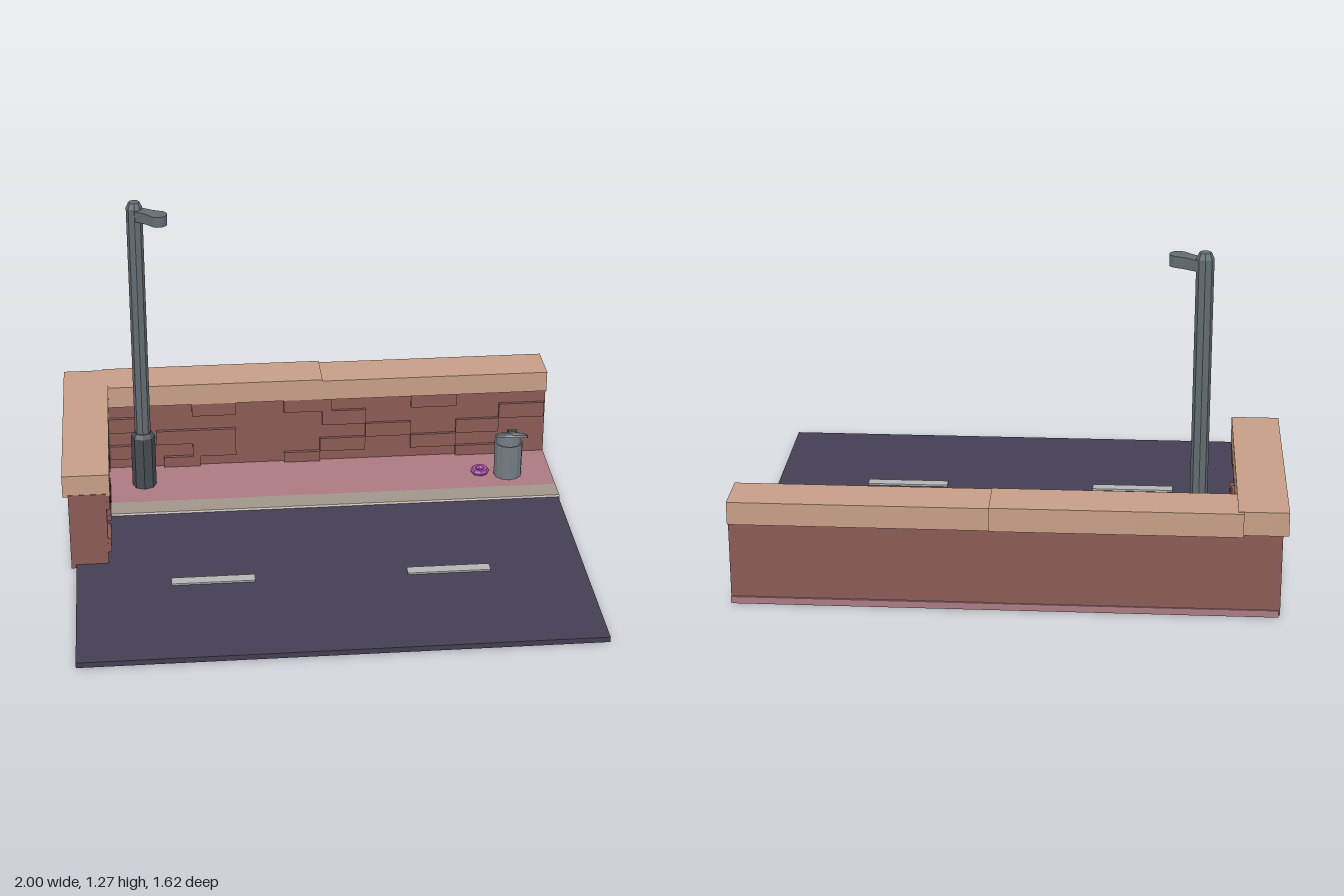
import * as THREE from 'three';

const mat = (color, extra = {}) => new THREE.MeshStandardMaterial({ color, flatShading: true, ...extra });
const ROAD = mat(0x443e52), PAINT = mat(0xb4b4b4), PAVE = mat(0xab7a82), CURB = mat(0xa0958a);
const BRICK = mat(0x8a5a54), COPING = mat(0xc69e86), STEEL = mat(0x646c72), DARK = mat(0x474c52);
const TIN = mat(0x747e84, { side: THREE.DoubleSide }), PINK = mat(0xb04fb0);

export function createModel() {
  const model = new THREE.Group();

  const add = (name, geometry, material, parent = model) => {
    const mesh = new THREE.Mesh(geometry, material);
    mesh.name = name;
    parent.add(mesh);
    return mesh;
  };
  // Box given by its limits on each axis
  const box = (name, material, x0, x1, y0, y1, z0, z1, parent = model) => {
    const mesh = add(name, new THREE.BoxGeometry(x1 - x0, y1 - y0, z1 - z0), material, parent);
    mesh.position.set((x0 + x1) / 2, (y0 + y1) / 2, (z0 + z1) / 2);
    return mesh;
  };
  const group = (name, x, y, z) => {
    const g = new THREE.Group();
    g.name = name;
    g.position.set(x, y, z);
    model.add(g);
    return g;
  };

  // Ground
  box('road', ROAD, -0.96, 0.99, 0.005, 0.026, -0.25, 0.81);
  for (const x of [-0.6, 0.305]) box('laneMark', PAINT, x, x + 0.32, 0.02, 0.033, 0.26, 0.305);
  box('pavement', PAVE, -0.975, 0.995, 0.004, 0.03, -0.795, -0.345);

  // Kerb with a sloped front, extruded along x
  const kerbShape = new THREE.Shape();
  kerbShape.moveTo(0.235, 0.002);
  kerbShape.lineTo(0.35, 0.002);
  kerbShape.lineTo(0.35, 0.031);
  kerbShape.lineTo(0.258, 0.031);
  const kerb = add('kerb', new THREE.ExtrudeGeometry(kerbShape, { depth: 1.82, bevelEnabled: false }), CURB);
  kerb.rotation.y = Math.PI / 2;
  kerb.position.x = -0.825;

  // Walls
  box('backWallLeft', BRICK, -0.98, 0.06, 0.015, 0.33, -0.79, -0.652);
  box('backWallRight', BRICK, 0.06, 0.995, 0.015, 0.33, -0.787, -0.65);
  box('sideWall', BRICK, -0.98, -0.835, 0.01, 0.33, -0.788, 0.117);

  // Raised bricks: [row, start, end] along each inner face
  const rowY = [0.03, 0.075, 0.135, 0.197, 0.262, 0.322];
  const backBricks = [
    [4, -0.48, -0.3], [4, -0.1, 0.1], [4, 0.43, 0.62], [3, -0.83, -0.7], [3, 0.06, 0.24], [3, 0.8, 0.99],
    [2, -0.63, -0.3], [2, 0.24, 0.43], [2, 0.62, 0.8], [1, -0.83, -0.7], [1, -0.48, -0.3],
    [1, 0.05, 0.24], [1, 0.43, 0.62], [0, -0.6, -0.45], [0, -0.1, 0.05], [0, 0.62, 0.8],
  ];
  for (const [r, a, b] of backBricks) box('backBrick', BRICK, a, b, rowY[r], rowY[r + 1], -0.66, -0.637);
  const sideBricks = [
    [4, -0.06, 0.115], [4, -0.48, -0.35], [3, -0.63, -0.53], [2, -0.24, -0.06], [2, -0.53, -0.42],
    [1, 0, 0.115], [1, -0.24, -0.13], [1, -0.63, -0.58], [0, -0.48, -0.35],
  ];
  for (const [r, a, b] of sideBricks) box('sideBrick', BRICK, -0.85, -0.822, rowY[r], rowY[r + 1], a, b);

  // Coping stones
  box('backCopingLeft', COPING, -0.84, 0.06, 0.32, 0.41, -0.812, -0.632);
  box('backCopingRight', COPING, 0.06, 0.995, 0.32, 0.406, -0.807, -0.628);
  box('sideCoping', COPING, -1, -0.82, 0.322, 0.412, -0.797, 0.115);

  // Lamp post: octagonal profiles
  const lamp = group('lampPost', -0.685, 0, -0.503);
  const lathe = (name, pts, material, sides, parent) =>
    add(name, new THREE.LatheGeometry(pts.map(p => new THREE.Vector2(...p)), sides), material, parent);
  lathe('lampBase', [[0, 0.02], [0.049, 0.02], [0.049, 0.255], [0.036, 0.272], [0, 0.272]], DARK, 8, lamp);
  lathe('lampPole', [[0, 0.26], [0.032, 0.26], [0.032, 1.25], [0.022, 1.272], [0, 1.274]], STEEL, 8, lamp);

  // Lamp arm, widening to a rounded head
  const armShape = new THREE.Shape();
  armShape.moveTo(0, -0.024);
  armShape.lineTo(0.07, -0.026);
  armShape.absarc(0.112, 0, 0.035, -Math.PI / 2, Math.PI / 2, false);
  armShape.lineTo(0.07, 0.026);
  armShape.lineTo(0, 0.024);
  const arm = add('lampArm',
    new THREE.ExtrudeGeometry(armShape, { depth: 0.042, bevelEnabled: false, curveSegments: 4 }), STEEL, lamp);
  arm.rotation.set(-Math.PI / 2, 0, -0.62);
  arm.position.y = 1.202;

  // Dustbin with a tilted lid
  const bin = group('dustbin', 0.813, 0.03, -0.457);
  lathe('binBody', [[0, 0.001], [0.057, 0.001], [0.059, 0.152], [0.053, 0.152], [0.051, 0.01], [0, 0.01]], TIN, 12, bin);
  const lid = group('binLid', 0.828, 0.198, -0.47);
  lid.rotation.set(-0.46, 0, -0.06);
  lathe('lidDisc', [[0, -0.004], [0.068, -0.006], [0.068, 0.004], [0.05, 0.012], [0, 0.017]], TIN, 12, lid);
  const handle = box('lidHandle', DARK, -0.024, 0.024, 0.012, 0.026, -0.005, 0.005, lid);
  handle.rotation.y = 0.6;

  // Dropped ring treat
  const ring = add('ring', new THREE.TorusGeometry(0.026, 0.013, 6, 8), PINK);
  ring.rotation.x = -Math.PI / 2;
  ring.position.set(0.7, 0.042, -0.475);

  return model;
}
